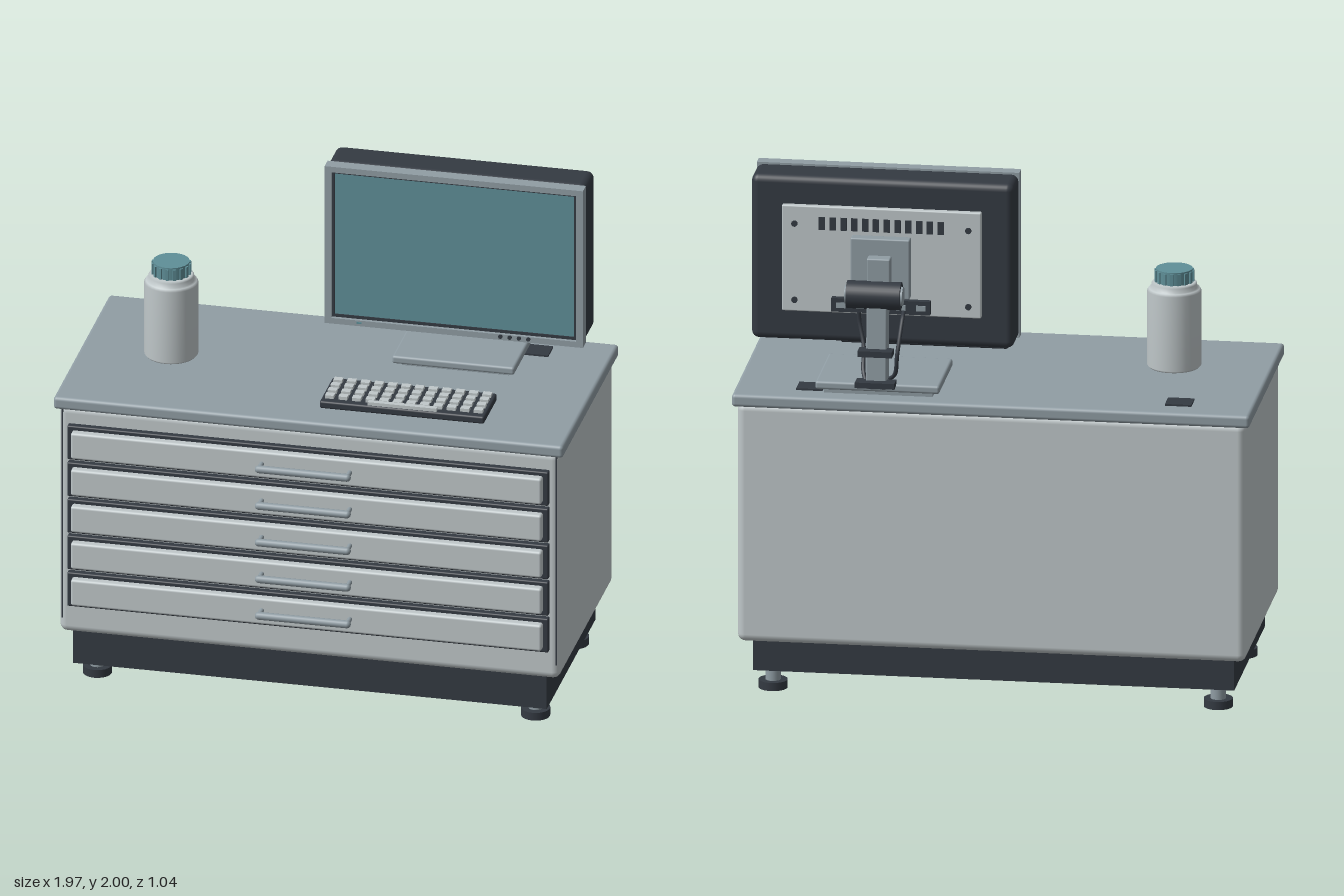
import * as THREE from 'three';
import { RoundedBoxGeometry } from 'three/addons/geometries/RoundedBoxGeometry.js';

const mat = (name, color, side = THREE.FrontSide) => {
  const m = new THREE.MeshStandardMaterial({ color, side });
  m.name = name;
  return m;
};

export function createModel() {
  const light = mat('light grey', 0xc0c8ca);
  const steel = mat('blue grey steel', 0x909da4);
  const dark = mat('charcoal', 0x343a42);
  const teal = mat('teal', 0x5f8f98);

  const root = new THREE.Group();
  root.name = 'workstation';
  const group = (name) => {
    const g = new THREE.Group();
    g.name = name;
    root.add(g);
    return g;
  };
  const add = (parent, name, geo, material, x = 0, y = 0, z = 0) => {
    const m = new THREE.Mesh(geo, material);
    m.name = name;
    m.position.set(x, y, z);
    parent.add(m);
    return m;
  };
  // Box given by its limits on each axis, with optional rounded edges
  const box = (parent, name, material, [x0, x1], [y0, y1], [z0, z1], r = 0) => {
    const s = [x1 - x0, y1 - y0, z1 - z0];
    const geo = r ? new RoundedBoxGeometry(...s, 3, r) : new THREE.BoxGeometry(...s);
    return add(parent, name, geo, material, (x0 + x1) / 2, (y0 + y1) / 2, (z0 + z1) / 2);
  };
  const cyl = (r, h, n = 24) => new THREE.CylinderGeometry(r, r, h, n);

  // Cabinet
  const cabinet = group('cabinet');
  box(cabinet, 'cabinetBody', light, [-0.965, 0.965], [0.21, 1.15], [-0.5, 0.4], 0.03);
  box(cabinet, 'countertop', steel, [-0.983, 0.983], [1.14, 1.19], [-0.52, 0.42], 0.014);
  box(cabinet, 'plinth', dark, [-0.913, 0.913], [0.08, 0.22], [-0.43, 0.385]);
  for (const s of [-1, 1]) {
    box(cabinet, 'sideSeam', dark, [s * 0.952 - 0.003, s * 0.952 + 0.003], [0.27, 1.14], [0.37, 0.397]);
    box(cabinet, 'cableGrommet', dark, [s * 0.7 - 0.05, s * 0.7 + 0.05], [1.188, 1.197], [-0.43, -0.345]);
    for (const z of [0.275, -0.375]) {
      add(cabinet, 'footPad', cyl(0.055, 0.032), dark, s * 0.845, 0.016, z);
      add(cabinet, 'footStem', cyl(0.029, 0.06), steel, s * 0.845, 0.055, z);
    }
  }

  // Drawers
  for (let i = 0; i < 5; i++) {
    const y = 0.402 + i * 0.152;
    const drawer = group('drawer');
    box(drawer, 'drawerFrame', dark, [-0.928, 0.928], [y - 0.07, y + 0.07], [0.39, 0.425], 0.006);
    box(drawer, 'drawerFront', light, [-0.908, 0.908], [y - 0.054, y + 0.054], [0.415, 0.455], 0.01);
    const bar = add(drawer, 'handleBar', new THREE.CapsuleGeometry(0.015, 0.34, 4, 16), steel, 0, y + 0.006, 0.505);
    bar.rotation.z = Math.PI / 2;
    for (const s of [-1, 1]) {
      const post = add(drawer, 'handlePost', cyl(0.009, 0.06, 12), steel, s * 0.17, y + 0.006, 0.478);
      post.rotation.x = Math.PI / 2;
    }
  }

  // Bottle with ribbed cap
  const bottle = group('bottle');
  bottle.position.set(-0.625, 0, -0.006);
  const profile = [[0, 1.215], [0.095, 1.215], [0.102, 1.223], [0.102, 1.515], [0.096, 1.524],
    [0.086, 1.526], [0.086, 1.543], [0.08, 1.55], [0, 1.55]];
  const lathe = new THREE.LatheGeometry(profile.map(([r, y]) => new THREE.Vector2(r, y)), 32);
  add(bottle, 'bottleBody', lathe, light);
  add(bottle, 'cap', cyl(0.069, 0.054, 32), teal, 0, 1.574, 0);
  for (let i = 0; i < 16; i++) {
    const a = (i / 16) * Math.PI * 2;
    const rib = add(bottle, 'capRib', new THREE.BoxGeometry(0.012, 0.044, 0.01), teal,
      Math.sin(a) * 0.07, 1.573, Math.cos(a) * 0.07);
    rib.rotation.y = a;
  }

  // Keyboard
  const keyboard = group('keyboard');
  box(keyboard, 'keyboardBody', dark, [0.025, 0.66], [1.212, 1.242], [0.118, 0.337], 0.008);
  for (let r = 0; r < 4; r++) {
    for (let c = 0; c < 12; c++) {
      const x = 0.056 + c * 0.0522, z = 0.152 + r * 0.047;
      box(keyboard, 'key', light, [x - 0.017, x + 0.017], [1.238, 1.255], [z - 0.014, z + 0.014]);
    }
  }
  box(keyboard, 'spaceBar', light, [0.21, 0.475], [1.238, 1.255], [0.31, 0.331]);

  // Monitor: bezel ring, recessed screen and housing
  const monitor = group('monitor');
  const cx = 0.438, cy = 1.675;
  const rect = (S, w, h) => new S([[-w, -h], [w, -h], [w, h], [-w, h]].map(([x, y]) => new THREE.Vector2(x, y)));
  const ring = (w, h, w2, h2, depth) => {
    const s = rect(THREE.Shape, w, h);
    s.holes.push(rect(THREE.Path, w2, h2));
    return new THREE.ExtrudeGeometry(s, { depth, bevelEnabled: false });
  };
  add(monitor, 'bezel', ring(0.498, 0.325, 0.472, 0.302, 0.05), steel, cx, cy, -0.17);
  add(monitor, 'innerBezel', ring(0.473, 0.303, 0.461, 0.291, 0.042), dark, cx, cy + 0.004, -0.17);
  box(monitor, 'screen', teal, [cx - 0.463, cx + 0.463], [1.386, 1.972], [-0.17, -0.131]);
  box(monitor, 'housing', dark, [cx - 0.498, cx + 0.498], [1.352, 1.998], [-0.325, -0.165], 0.028);
  for (let i = 0; i < 4; i++) {
    const b = add(monitor, 'button', cyl(0.008, 0.008, 12), dark, 0.618 + i * 0.036, 1.365, -0.118);
    b.rotation.x = Math.PI / 2;
  }
  box(monitor, 'powerLight', teal, [0.063, 0.083], [1.361, 1.368], [-0.122, -0.116]);

  // Rear panel with vents, screws and ports
  box(monitor, 'rearPanel', light, [0.06, 0.816], [1.475, 1.89], [-0.348, -0.32], 0.005);
  for (let i = 0; i < 12; i++) {
    const x = cx + (i - 5.5) * 0.041;
    box(monitor, 'ventSlot', dark, [x - 0.012, x + 0.012], [1.8, 1.85], [-0.352, -0.345]);
  }
  for (const sx of [-1, 1]) {
    for (const y of [1.52, 1.82]) {
      const s = add(monitor, 'screw', cyl(0.012, 0.008, 12), dark, cx + sx * 0.33, y, -0.35);
      s.rotation.x = Math.PI / 2;
    }
  }
  box(monitor, 'portBlock', dark, [0.25, 0.625], [1.487, 1.54], [-0.372, -0.34]);
  for (let i = 0; i < 5; i++) {
    const x = 0.285 + i * 0.076;
    box(monitor, 'port', steel, [x - 0.018, x + 0.018], [1.503, 1.524], [-0.376, -0.37]);
  }

  // Stand
  const stand = group('stand');
  box(stand, 'mountPlate', steel, [0.325, 0.55], [1.55, 1.785], [-0.39, -0.345], 0.006);
  box(stand, 'mountBlock', steel, [0.393, 0.482], [1.58, 1.72], [-0.435, -0.385], 0.006);
  const hinge = add(stand, 'hinge', cyl(0.053, 0.205, 32), dark, 0.452, 1.58, -0.44);
  hinge.rotation.z = Math.PI / 2;
  for (const x of [0.347, 0.557]) {
    const cap = add(stand, 'hingeCap', cyl(0.036, 0.01, 32), steel, x, 1.58, -0.44);
    cap.rotation.z = Math.PI / 2;
  }
  const post = box(stand, 'post', steel, [0.4, 0.478], [1.22, 1.57], [-0.478, -0.405], 0.006);
  post.rotation.x = 0.05;
  box(stand, 'basePlate', steel, [0.2, 0.672], [1.21, 1.242], [-0.475, -0.115], 0.01);
  box(stand, 'baseFoot', steel, [0.23, 0.642], [1.185, 1.215], [-0.445, -0.155]);
  box(stand, 'cableClip', dark, [0.365, 0.515], [1.235, 1.257], [-0.518, -0.46]);
  box(stand, 'cableClip', dark, [0.375, 0.505], [1.357, 1.38], [-0.515, -0.46]);

  // Cables
  const cable = (pts) => {
    const curve = new THREE.CatmullRomCurve3(pts.map((p) => new THREE.Vector3(...p)));
    add(stand, 'cable', new THREE.TubeGeometry(curve, 32, 0.008, 8), dark);
  };
  cable([[0.35, 1.5, -0.365], [0.35, 1.48, -0.41], [0.36, 1.36, -0.475], [0.37, 1.28, -0.46], [0.4, 1.245, -0.42]]);
  cable([[0.52, 1.5, -0.365], [0.52, 1.45, -0.36], [0.5, 1.36, -0.385], [0.495, 1.28, -0.43], [0.48, 1.245, -0.47]]);

  return root;
}
